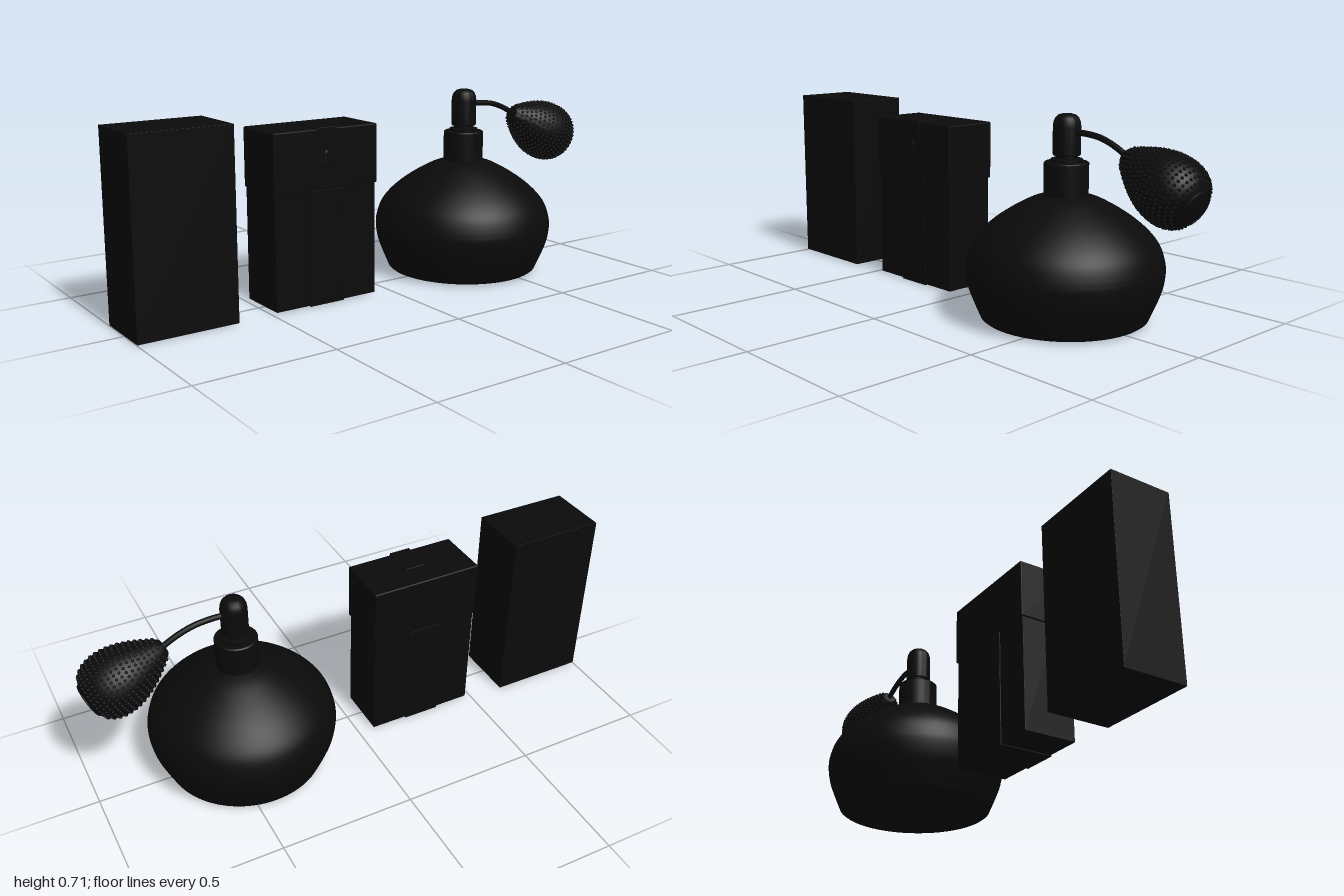
import * as THREE from 'three';
import { mergeGeometries, toCreasedNormals } from 'three/addons/utils/BufferGeometryUtils.js';
import { RoundedBoxGeometry } from 'three/addons/geometries/RoundedBoxGeometry.js';

const black = new THREE.MeshStandardMaterial({ color: 0x0a0a0a, side: THREE.DoubleSide });

function add(parent, name, geometry, x = 0, y = 0, z = 0) {
  const mesh = new THREE.Mesh(geometry, black);
  mesh.name = name;
  mesh.position.set(x, y, z);
  parent.add(mesh);
  return mesh;
}

// Box given by its minimum and maximum corners
function block(parent, name, [x0, y0, z0], [x1, y1, z1], round = 0.002) {
  const g = new RoundedBoxGeometry(x1 - x0, y1 - y0, z1 - z0, 2, round);
  return add(parent, name, g, (x0 + x1) / 2, (y0 + y1) / 2, (z0 + z1) / 2);
}

const vectors = (points) => points.map(([r, y]) => new THREE.Vector2(r, y));
const lathe = (points, segments = 64) =>
  toCreasedNormals(new THREE.LatheGeometry(vectors(points), segments), 0.6);

function makeGiftCase() {
  const box = new THREE.Group();
  box.name = 'hingedCase';
  block(box, 'caseBody', [-0.48, 0.005, -0.104], [-0.063, 0.6, 0.095]);
  block(box, 'caseLid', [-0.484, 0.42, -0.11], [-0.056, 0.635, 0.1], 0.005);
  // Strap running under the case and up its front and back
  block(box, 'strap', [-0.343, 0.002, -0.108], [-0.203, 0.42, 0.099], 0.001);
  // Tongue folded over the lid, with a small hanging clasp
  block(box, 'tongueTop', [-0.312, 0.63, -0.02], [-0.23, 0.64, 0.104]);
  block(box, 'tongueFront', [-0.312, 0.57, 0.097], [-0.23, 0.64, 0.104]);
  const clasp = add(box, 'clasp', new THREE.CapsuleGeometry(0.011, 0.035, 6, 16), -0.271, 0.53, 0.1);
  clasp.scale.z = 0.4;
  return box;
}

function makeBottle() {
  const bottle = new THREE.Group();
  bottle.name = 'atomiserBottle';
  bottle.position.x = 0.434;

  // Squat glass body: straight flank below, smooth shoulder above
  const shoulder = new THREE.SplineCurve(vectors([
    [0.293, 0.014], [0.319, 0.075], [0.337, 0.125], [0.345, 0.18], [0.34, 0.22], [0.324, 0.265],
    [0.294, 0.305], [0.25, 0.345], [0.2, 0.38], [0.15, 0.409], [0.11, 0.428], [0.07, 0.44],
  ])).getPoints(44).map((p) => [p.x, p.y]);
  add(bottle, 'bottleBody', lathe([[0, 0.008], [0.285, 0.008], ...shoulder, [0, 0.445]], 96));

  add(bottle, 'collar', lathe([
    [0, 0.425], [0.077, 0.425], [0.077, 0.548], [0.073, 0.552],
    [0.055, 0.552], [0.055, 0.562], [0.038, 0.565], [0.038, 0.58], [0, 0.58],
  ]));
  add(bottle, 'sprayCap', lathe([
    [0, 0.574], [0.045, 0.574], [0.048, 0.578], [0.048, 0.672], [0.046, 0.688],
    [0.04, 0.702], [0.031, 0.711], [0.018, 0.715], [0, 0.716],
  ]));

  // Bent hose from the cap to the bulb
  const hose = new THREE.CatmullRomCurve3([
    [0.035, 0.655], [0.085, 0.655], [0.145, 0.648], [0.205, 0.628], [0.265, 0.597],
  ].map(([x, y]) => new THREE.Vector3(x, y, 0)));
  add(bottle, 'hose', new THREE.TubeGeometry(hose, 32, 0.0105, 14));
  return bottle;
}

function makeBulb() {
  const bulb = new THREE.Group();
  bulb.name = 'squeezeBulb';
  bulb.position.set(0.692, 0.598, 0);
  bulb.rotation.z = -Math.PI / 2 - 0.44;

  const profile = new THREE.SplineCurve(vectors([
    [0.03, 0], [0.045, 0.02], [0.066, 0.055], [0.09, 0.1], [0.108, 0.15], [0.115, 0.195],
    [0.112, 0.235], [0.1, 0.266], [0.082, 0.288], [0.06, 0.302], [0.035, 0.309], [0, 0.311],
  ]));
  const outline = profile.getPoints(44);
  add(bulb, 'bulbBody', lathe([[0, -0.003], [0.026, -0.003], ...outline.map((p) => [p.x, p.y])]));

  // Rings of tiny beads standing out of the bulb skin
  const beads = [];
  const rings = 16;
  for (let i = 0; i < rings; i++) {
    const p = profile.getPointAt(0.05 + 0.72 * i / (rings - 1));
    const count = Math.round(p.x * 2 * Math.PI / 0.0165);
    for (let j = 0; j < count; j++) {
      const a = (j + (i % 2) / 2) / count * Math.PI * 2;
      beads.push(new THREE.OctahedronGeometry(0.0058, 1)
        .translate(p.x * Math.cos(a), p.y, p.x * Math.sin(a)));
    }
  }
  add(bulb, 'bulbBeads', mergeGeometries(beads));
  // Valve ring on the end of the bulb
  add(bulb, 'endRing', new THREE.TorusGeometry(0.06, 0.004, 8, 48).rotateX(Math.PI / 2), 0, 0.302, 0);
  return bulb;
}

export function createModel() {
  const model = new THREE.Group();
  model.name = 'perfumeSet';
  block(model, 'outerCarton', [-1, 0.004, -0.126], [-0.634, 0.683, 0.109], 0.001);
  model.add(makeGiftCase(), makeBottle(), makeBulb());
  return model;
}
